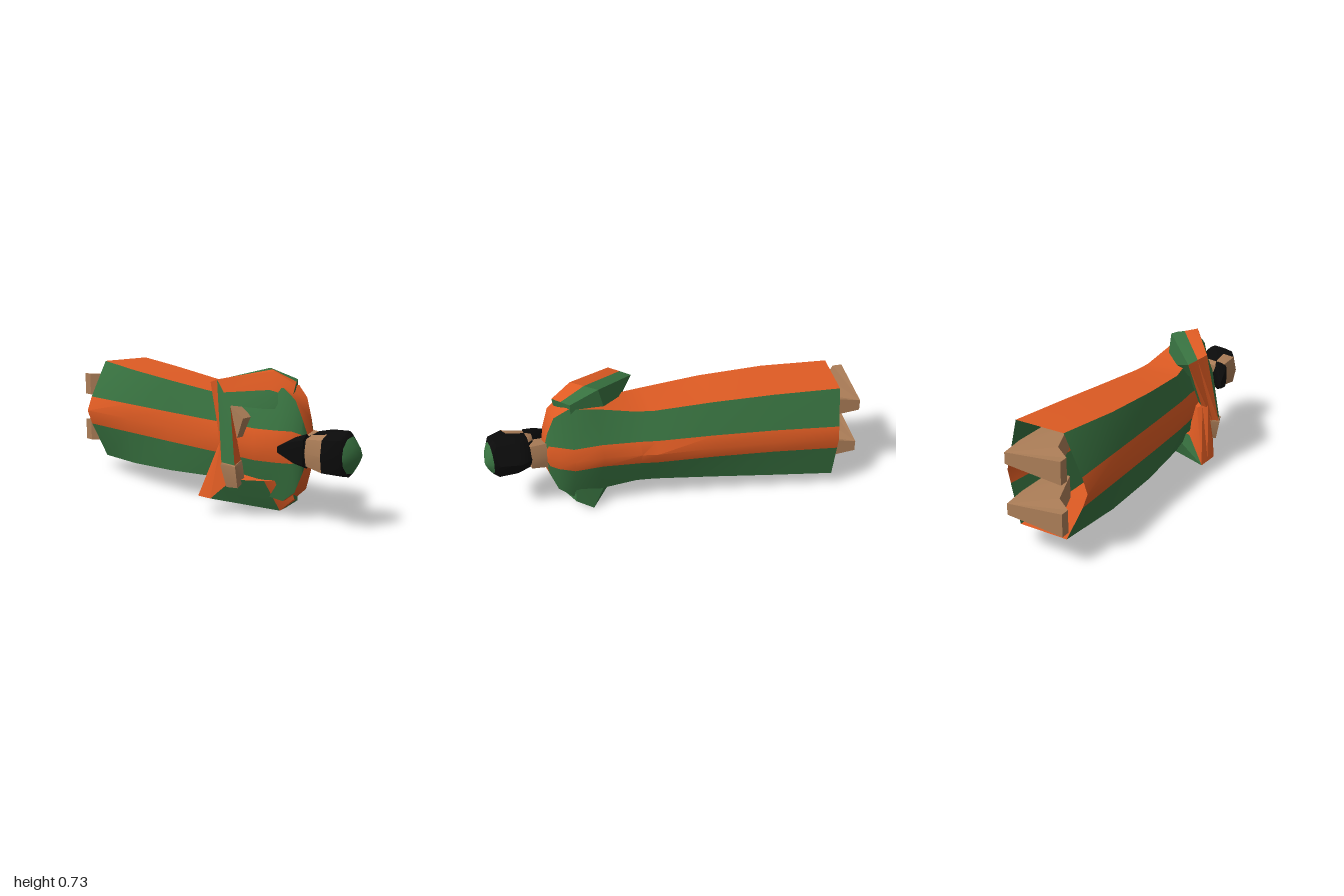
import * as THREE from 'three';
import { toCreasedNormals } from 'three/addons/utils/BufferGeometryUtils.js';

const mat = (name, color) => {
  const m = new THREE.MeshStandardMaterial({ color, side: THREE.DoubleSide });
  m.name = name;
  return m;
};

// Palette indices
const G = 0, O = 1, S = 2, K = 3;

export function createModel() {
  const mats = [mat('green cloth', 0x387240), mat('orange cloth', 0xde5b23),
    mat('skin', 0xab7d57), mat('black hair', 0x0b0b0b)];
  const model = new THREE.Group();

  // Skin a list of closed rings; colorOf(strip, side) picks the colour of each face
  function loft(name, rings, colorOf, caps = [], crease = 0.7) {
    const buckets = [[], [], [], []];
    const n = rings[0].length;
    for (let i = 0; i < rings.length - 1; i++) {
      for (let j = 0; j < n; j++) {
        const k = (j + 1) % n;
        const a = rings[i][j], b = rings[i][k], c = rings[i + 1][k], d = rings[i + 1][j];
        buckets[colorOf(i, j)].push(...a, ...b, ...c, ...a, ...c, ...d);
      }
    }
    [rings[0], rings[rings.length - 1]].forEach((ring, e) => {
      if (caps[e] === undefined) return;
      const mid = [0, 1, 2].map((q) => ring.reduce((s, p) => s + p[q], 0) / n);
      ring.forEach((p, j) => {
        const q = ring[(j + 1) % n];
        buckets[caps[e]].push(...mid, ...(e ? p : q), ...(e ? q : p));
      });
    });
    const geo = new THREE.BufferGeometry();
    let start = 0;
    buckets.forEach((b, m) => {
      if (b.length) geo.addGroup(start, b.length / 3, m);
      start += b.length / 3;
    });
    geo.setAttribute('position', new THREE.Float32BufferAttribute(buckets.flat(), 3));
    const mesh = new THREE.Mesh(toCreasedNormals(geo, crease), mats);
    mesh.name = name;
    model.add(mesh);
  }

  // Mirrored ring from a front and a back point (x, z); half = [depth fraction, half width]
  function ring([fx, fz], [bx, bz], half, yc = 0.37) {
    const at = ([t, w], s) => [fx + (bx - fx) * t, yc + s * w, fz + (bz - fz) * t];
    const up = half.map((h) => at(h, 1));
    const down = half.map((h) => at(h, -1)).reverse();
    return [at([0, 0], 1), ...up, at([1, 0], 1), ...down];
  }

  // Robe: centre stripes front and back, green bands, orange sides
  const robe = [
    // front, back, half width, front and back corner depth
    [[-0.90, 0.07], [-0.78, -0.39], 0.28, 0.27, 0.86],
    [[-0.55, 0.12], [-0.45, -0.28], 0.265, 0.14, 0.84],
    [[-0.20, 0.18], [-0.15, -0.195], 0.245, 0.09, 0.80],
    [[0.12, 0.24], [0.15, -0.12], 0.222, 0.12, 0.76],
    [[0.25, 0.26], [0.23, -0.09], 0.225, 0.18, 0.75],
    [[0.45, 0.30], [0.42, -0.03], 0.26, 0.22, 0.75],
    [[0.57, 0.28], [0.57, -0.005], 0.283, 0.25, 0.72],
    [[0.64, 0.25], [0.64, 0.05], 0.23, 0.2, 0.72],
    [[0.677, 0.225], [0.677, 0.085], 0.13, 0.2, 0.74],
    [[0.69, 0.21], [0.69, 0.10], 0.07, 0.25, 0.75],
  ].map(([f, b, w, tf, tb]) => {
    const o = Math.min(0.08, w * 0.5), p = Math.min(0.07, w * 0.5);
    return ring(f, b, [[tf * o / w * 0.8, o], [tf, w], [tb, w], [1 - (1 - tb) * p / w, p]]);
  });
  const stripes = [O, G, O, G, O, O, G, O, G, O];
  loft('robe', robe, (i, j) => stripes[j], [undefined, O]);

  // Sleeves: rings of outer-back, outer-front, inner-front, inner-back corners
  const half = (a, b) => a.map((v, q) => (v + b[q]) / 2);
  const split = ([ob, of, nf, nb]) => [ob, half(ob, of), of, half(of, nf), nf, nb];
  const leftColors = [[G, O, O, G, G, G], [G, O, O, G, G, G], [O, O, G, G, O, G]];
  const rightColors = [[G, O, O, O, O, G], [G, O, G, G, O, G], [O, O, O, O, O, O]];
  const topWrist = [[0.30, 0.27, 0.32], [0.325, 0.26, 0.385], [0.395, 0.25, 0.37], [0.37, 0.26, 0.28]];
  loft('leftSleeve', [
    [[0.56, 0.68, 0.07], [0.62, 0.67, 0.18], [0.60, 0.55, 0.20], [0.56, 0.55, 0.06]],
    [[0.40, 0.725, 0.08], [0.51, 0.73, 0.20], [0.50, 0.55, 0.27], [0.36, 0.55, 0.07]],
    [[0.15, 0.65, 0.25], [0.25, 0.68, 0.325], [0.34, 0.56, 0.335], [0.26, 0.54, 0.23]],
    topWrist,
  ].map(split), (i, j) => leftColors[i][j], [G, O], 0.5);
  loft('rightSleeve', [
    [[0.56, 0.06, 0.06], [0.62, 0.10, 0.18], [0.60, 0.20, 0.20], [0.56, 0.20, 0.06]],
    [[0.47, 0.00, 0.04], [0.52, 0.02, 0.16], [0.50, 0.19, 0.27], [0.36, 0.19, 0.06]],
    [[0.14, 0.075, 0.34], [0.25, 0.085, 0.38], [0.36, 0.19, 0.34], [0.24, 0.20, 0.24]],
    [[0.24, 0.37, 0.28], [0.28, 0.39, 0.33], [0.36, 0.38, 0.31], [0.32, 0.37, 0.24]],
  ].map(split), (i, j) => rightColors[i][j], [G, O], 0.5);

  // Hand emerging from the upper sleeve
  loft('leftHand', [
    topWrist.map(([x, y, z]) => [x, y + 0.02, z]),
    [[0.295, 0.265, 0.32], [0.32, 0.265, 0.389], [0.40, 0.265, 0.375], [0.375, 0.265, 0.28]],
    [[0.32, 0.165, 0.30], [0.34, 0.155, 0.366], [0.40, 0.155, 0.355], [0.39, 0.175, 0.28]],
  ], () => S, [S, S], 0.5);

  // Bare skin showing in the crook of the arm
  const crook = [[0.33, 0.555], [0.41, 0.50], [0.375, 0.40]];
  loft('armCrook', [0.25, 0.325].map((z) => crook.map(([x, y]) => [x, y, z])), () => S, [S, S]);

  // Neck
  loft('neck', [
    ring([0.61, 0.21], [0.63, 0.095], [[0.2, 0.06], [0.88, 0.08]]),
    ring([0.77, 0.25], [0.77, 0.115], [[0.2, 0.05], [0.88, 0.07]]),
  ], () => S);

  // Head with hair, face, black cap band and rounded green crown
  const headHalf = (w) => [[0.06, 0.72 * w], [0.3, 0.88 * w], [0.6, w], [0.74, 0.88 * w]];
  const crownHalf = (w) => [[0.07, 0.5 * w], [0.3, 0.92 * w], [0.65, w], [0.9, 0.6 * w]];
  const head = [
    [[0.72, 0.30], [0.74, 0.16], 0.072, headHalf],
    [[0.76, 0.31], [0.77, 0.11], 0.09, headHalf],
    [[0.87, 0.345], [0.83, 0.09], 0.108, headHalf],
    [[0.95, 0.31], [0.93, 0.12], 0.112, headHalf],
    [[0.962, 0.302], [0.962, 0.145], 0.09, crownHalf],
    [[0.985, 0.26], [0.988, 0.165], 0.05, crownHalf],
    [[1.0, 0.20], [1.0, 0.18], 0.01, crownHalf],
  ].map(([f, b, w, shape]) => ring(f, b, shape(w)));
  const headColor = (i, j) => {
    const side = Math.min(j, 9 - j);
    if (i === 0) return side === 2 || side === 3 ? S : K;
    if (i === 1) return side < 2 ? S : K;
    return i > 3 ? G : K;
  };
  loft('head', head, headColor, [S, G]);

  // Pointed beard
  loft('beard', [
    ring([0.61, 0.32], [0.62, 0.30], headHalf(0.02)),
    ring([0.69, 0.325], [0.69, 0.25], headHalf(0.065)),
    ring([0.755, 0.318], [0.74, 0.23], headHalf(0.085)),
  ], () => K, [K, K]);

  // Feet with ankles running up under the robe
  const side = new THREE.Shape([[-0.93, -0.33], [-0.82, -0.30], [-0.60, -0.25], [-0.62, -0.13],
    [-0.855, -0.09], [-0.95, -0.01], [-1.0, -0.02]].map(([x, z]) => new THREE.Vector2(x, z)));
  [['leftFoot', 0.51], ['rightFoot', 0.24]].forEach(([name, y]) => {
    const geo = new THREE.ExtrudeGeometry(side, { depth: 0.12, bevelEnabled: false });
    geo.translate(0, 0, -0.06).rotateX(Math.PI / 2);
    const p = geo.attributes.position;
    // Narrow the heel, most of all along the sole
    for (let i = 0; i < p.count; i++) {
      if (p.getZ(i) < -0.2) p.setY(i, p.getY(i) * (p.getX(i) < -0.9 ? 0.5 : 0.8));
    }
    geo.computeVertexNormals();
    geo.translate(0, y, 0);
    const foot = new THREE.Mesh(geo, mats[S]);
    foot.name = name;
    model.add(foot);
  });

  return model;
}
